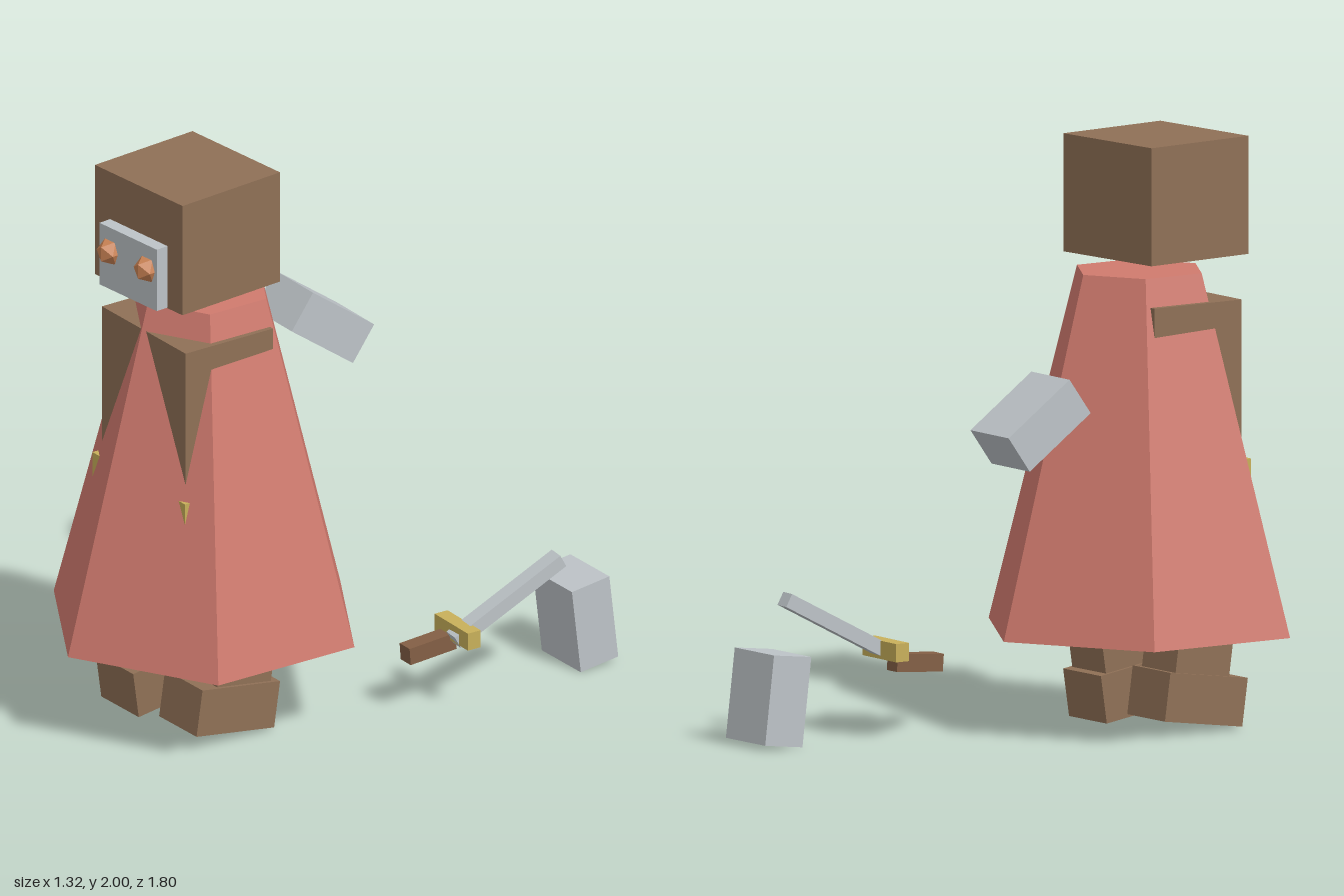
import * as THREE from 'three';

const paint = (name, color) => {
  const m = new THREE.MeshStandardMaterial({ color });
  m.name = name;
  return m;
};

export function createModel() {
  const model = new THREE.Group();
  model.name = 'robedFigure';

  const brown = paint('brown', 0x8f7056);
  const red = paint('robeRed', 0xd07a6e);
  const steel = paint('steel', 0xbdc3c7);
  const gold = paint('gold', 0xc8b05a);
  const copper = paint('copper', 0xc98254);
  const wood = paint('gripBrown', 0x835f45);

  // Box with a yaw and a forward pitch
  const box = (parent, name, mat, size, pos, yaw = 0, pitch = 0) => {
    const mesh = new THREE.Mesh(new THREE.BoxGeometry(...size), mat);
    mesh.name = name;
    mesh.position.set(...pos);
    mesh.rotation.set(pitch, yaw, 0, 'YXZ');
    parent.add(mesh);
    return mesh;
  };

  // Head with face plate and eyes
  const head = new THREE.Group();
  head.name = 'head';
  head.position.set(-0.145, 1.8, 0.425);
  head.rotation.y = -0.14;
  model.add(head);
  box(head, 'skull', brown, [0.45, 0.4, 0.43], [0, 0, 0]);
  box(head, 'facePlate', steel, [0.295, 0.225, 0.06], [0, -0.085, 0.232]);
  for (const side of [-1, 1]) {
    const eye = new THREE.Mesh(new THREE.IcosahedronGeometry(0.049, 0), copper);
    eye.name = side > 0 ? 'leftEye' : 'rightEye';
    eye.position.set(side * 0.095, -0.06, 0.258);
    head.add(eye);
  }

  // Torso and belt, mostly covered by the robe
  const body = new THREE.Group();
  body.name = 'body';
  body.position.set(-0.145, 0, 0.425);
  body.rotation.y = -0.23;
  model.add(body);
  box(body, 'torso', brown, [0.483, 0.855, 0.36], [0, 1.0275, 0]);
  box(body, 'belt', gold, [0.534, 0.115, 0.402], [0, 0.86, 0]);

  // Six-sided robe
  const robeGeo = new THREE.CylinderGeometry(0.23, 0.556, 1.215, 6).toNonIndexed();
  robeGeo.computeVertexNormals();
  const robe = new THREE.Mesh(robeGeo, red);
  robe.name = 'robe';
  robe.position.set(-0.128, 0.9425, 0.36);
  robe.rotation.y = -0.24;
  model.add(robe);

  // Legs in mid-stride
  const legs = [
    { side: 'right', x: -0.307, z: 0.4, pitch: 0.14 },
    { side: 'left', x: 0.022, z: 0.452, pitch: -0.15 },
  ];
  for (const { side, x, z, pitch } of legs) {
    const leg = new THREE.Group();
    leg.name = side + 'Leg';
    leg.position.set(x, 0.117, z);
    leg.rotation.set(pitch, -0.22, 0, 'YXZ');
    model.add(leg);
    box(leg, side + 'Foot', brown, [0.213, 0.165, 0.325], [0, 0, 0]);
    box(leg, side + 'Shin', brown, [0.19, 0.42, 0.225], [0, 0.25, -0.02]);
  }

  // Floating gauntlets
  box(model, 'leftGauntlet', steel, [0.225, 0.305, 0.155], [0.522, 0.165, -0.785], -0.23, 0.12);
  box(model, 'rightGauntlet', steel, [0.225, 0.305, 0.148], [-0.306, 1.137, -0.4], -0.25, 0.95);

  // Bar running between two points, for the sword
  const bar = (parent, name, mat, a, b, w, h) => {
    const from = new THREE.Vector3(...a), to = new THREE.Vector3(...b);
    const d = to.clone().sub(from);
    const mesh = box(parent, name, mat, [w, h, d.length()], [0, 0, 0],
      Math.atan2(d.x, d.z), -Math.asin(d.y / d.length()));
    mesh.position.copy(from).lerp(to, 0.5);
  };

  const sword = new THREE.Group();
  sword.name = 'sword';
  model.add(sword);
  bar(sword, 'grip', wood, [0.395, 0.217, -0.065], [0.442, 0.231, -0.245], 0.06, 0.06);
  box(sword, 'guard', gold, [0.2, 0.062, 0.052], [0.478, 0.271, -0.237], -0.26);
  bar(sword, 'blade', steel, [0.488, 0.25, -0.205], [0.624, 0.464, -0.585], 0.06, 0.048);

  return model;
}
